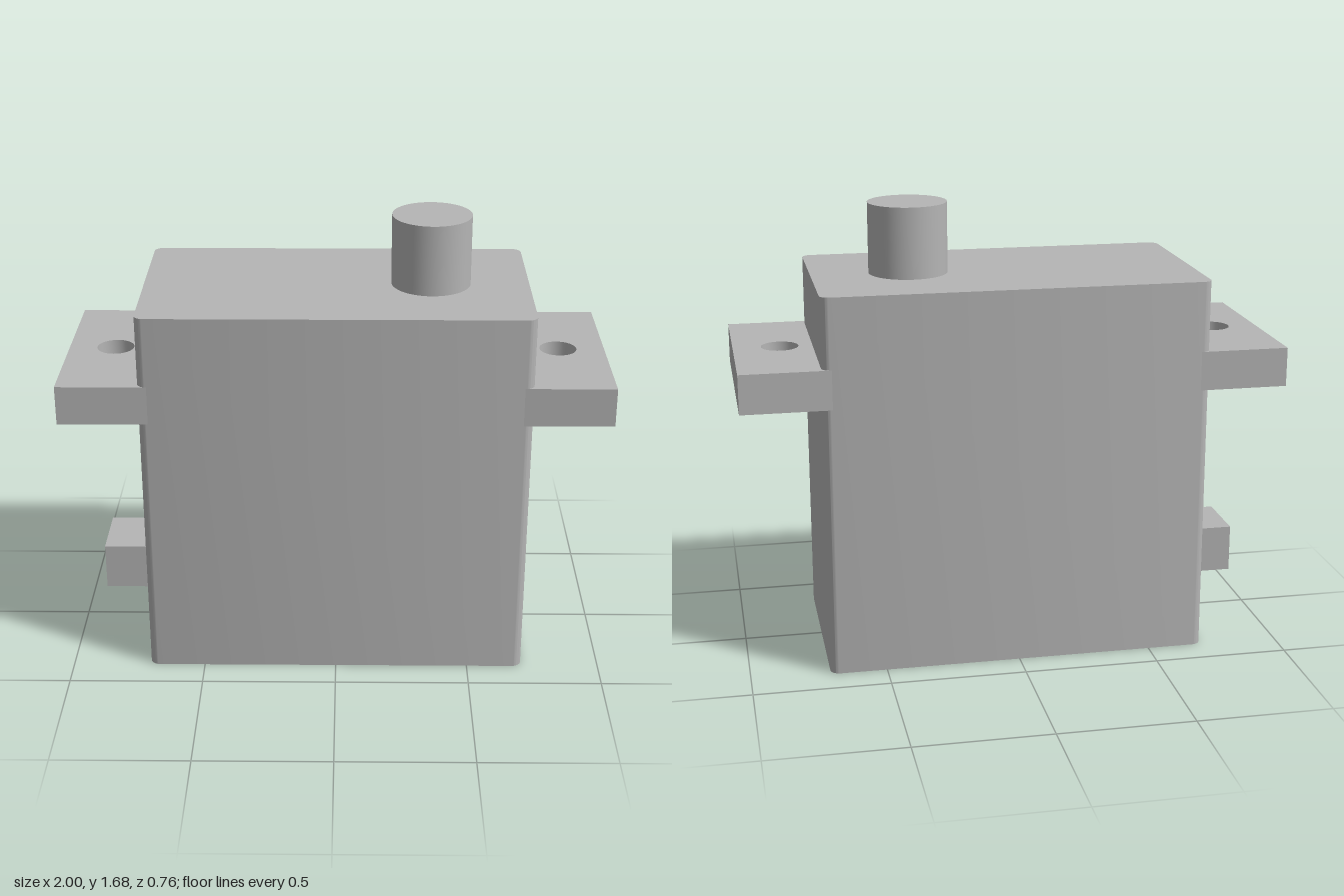
import * as THREE from 'three';
import { toCreasedNormals } from 'three/addons/utils/BufferGeometryUtils.js';

const BODY_X = 0.708, DEPTH = 0.382, CORNER = 0.035;

// Extrude a plan shape upwards from y0 to y1, with smooth curves and sharp edges
function extrudeUp(shape, y0, y1) {
  const geo = new THREE.ExtrudeGeometry(shape, { depth: y1 - y0, bevelEnabled: false, curveSegments: 16 });
  geo.rotateX(-Math.PI / 2).translate(0, y0, 0);
  return toCreasedNormals(geo, Math.PI / 6);
}

// Plan outline with rounded vertical corners
function roundedRect(x, z, r) {
  const s = new THREE.Shape();
  s.absarc(x - r, z - r, r, 0, Math.PI / 2);
  s.absarc(-x + r, z - r, r, Math.PI / 2, Math.PI);
  s.absarc(-x + r, -z + r, r, Math.PI, Math.PI * 1.5);
  s.absarc(x - r, -z + r, r, Math.PI * 1.5, Math.PI * 2);
  s.closePath();
  return s;
}

export function createModel() {
  const group = new THREE.Group();
  const grey = new THREE.MeshStandardMaterial({ color: 0xb5b5b5 });
  grey.name = 'grey';

  const add = (name, geo) => {
    const mesh = new THREE.Mesh(geo, grey);
    mesh.name = name;
    group.add(mesh);
    return mesh;
  };

  // Main housing
  add('housing', extrudeUp(roundedRect(BODY_X, DEPTH, CORNER), 0, 1.415));

  // Mounting lugs with a through hole, reaching in to where the corners start to round
  for (const side of [1, -1]) {
    const inner = BODY_X - CORNER;
    const lug = new THREE.Shape([
      new THREE.Vector2(inner, -DEPTH), new THREE.Vector2(1, -DEPTH),
      new THREE.Vector2(1, DEPTH), new THREE.Vector2(inner, DEPTH),
    ]);
    const hole = new THREE.Path();
    hole.absarc(0.828, 0, 0.069, 0, Math.PI * 2, true);
    lug.holes.push(hole);
    const mesh = add(side > 0 ? 'leftMountingLug' : 'rightMountingLug', extrudeUp(lug, 1.01, 1.155));
    if (side < 0) mesh.rotation.y = Math.PI;
  }

  // Output shaft
  add('outputShaft', new THREE.CylinderGeometry(0.146, 0.146, 0.28, 48).translate(0.347, 1.537, 0));

  // Cable outlet block
  add('cableOutlet', new THREE.BoxGeometry(0.21, 0.178, 0.24).translate(-0.793, 0.279, 0));

  return group;
}
